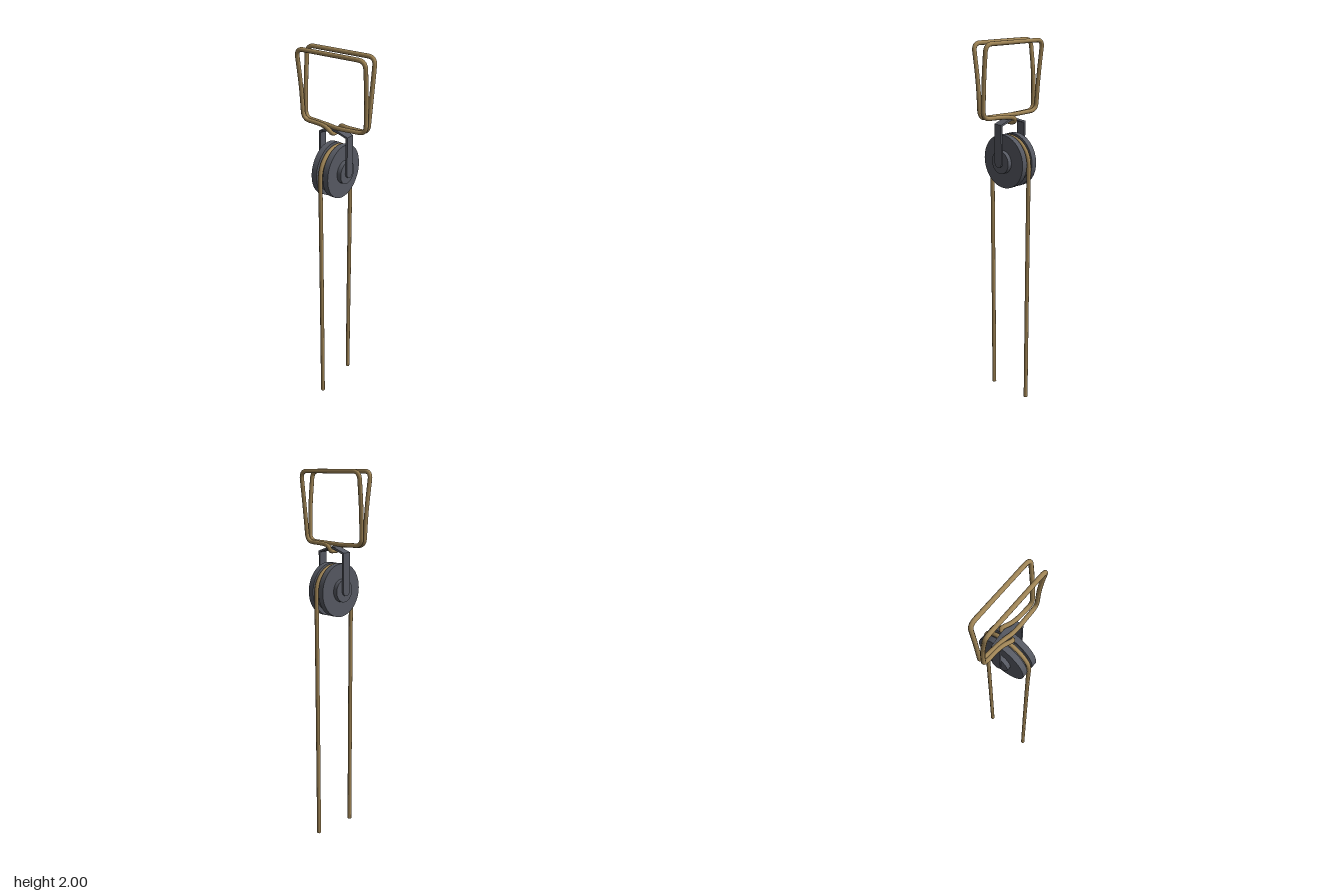
import * as THREE from 'three';

const metal = new THREE.MeshStandardMaterial({ color: 0x565962 });
metal.name = 'dark metal';
const tan = new THREE.MeshStandardMaterial({ color: 0xa08556 });
tan.name = 'tan rope';

const WHEEL_Y = 1.382;
const ROPE_R = 0.0112;

function add(group, name, geometry, material) {
  const mesh = new THREE.Mesh(geometry, material);
  mesh.name = name;
  group.add(mesh);
  return mesh;
}

// Closed path through [x, y, z, radius] corners, each rounded off
function roundedLoop(corners) {
  const pts = corners.map(c => new THREE.Vector3(c[0], c[1], c[2]));
  const n = pts.length;
  const bends = pts.map((p, i) => {
    const toward = q => {
      const d = q.clone().sub(p);
      const reach = Math.min(corners[i][3], d.length() * 0.48);
      return p.clone().add(d.setLength(reach));
    };
    return [toward(pts[(i + n - 1) % n]), p, toward(pts[(i + 1) % n])];
  });
  const path = new THREE.CurvePath();
  bends.forEach((b, i) => {
    path.add(new THREE.QuadraticBezierCurve3(...b));
    path.add(new THREE.LineCurve3(b[2], bends[(i + 1) % n][0]));
  });
  return path;
}

function buildWheel() {
  const wheel = new THREE.Group();
  wheel.name = 'pulleyWheel';
  const disc = (name, r, depth, z) => {
    const g = new THREE.CylinderGeometry(r, r, depth, 48);
    g.rotateX(Math.PI / 2);
    g.translate(0, 0, z);
    add(wheel, name, g, metal);
  };
  disc('grooveCore', 0.12, 0.04, 0);
  disc('axle', 0.02, 0.166, 0);
  for (const s of [-1, 1]) {
    disc('flange', 0.141, 0.031, s * 0.0345);
    disc('hub', 0.06, 0.024, s * 0.061);
  }
  wheel.position.y = WHEEL_Y;
  return wheel;
}

function buildBracket() {
  const bracket = new THREE.Group();
  bracket.name = 'bracket';
  const w = 0.025;
  // Side straps with rounded lower ends
  const strap = new THREE.Shape();
  strap.moveTo(w, 1.582);
  strap.lineTo(-w, 1.582);
  strap.lineTo(-w, WHEEL_Y);
  strap.absarc(0, WHEEL_Y, w, Math.PI, Math.PI * 2, false);
  strap.closePath();
  for (const z of [-0.088, 0.078]) {
    const g = new THREE.ExtrudeGeometry(strap, { depth: 0.01, bevelEnabled: false, curveSegments: 16 });
    g.translate(0, 0, z);
    add(bracket, 'strap', g, metal);
  }
  // Bent bridge joining the straps
  const roof = new THREE.Shape();
  [[-0.088, 1.582], [-0.078, 1.575], [-0.015, 1.596], [0.015, 1.596], [0.078, 1.575],
    [0.088, 1.582], [0.018, 1.607], [-0.018, 1.607]].forEach(([z, y], i) => {
    if (i) roof.lineTo(z, y); else roof.moveTo(z, y);
  });
  roof.closePath();
  const g = new THREE.ExtrudeGeometry(roof, { depth: w * 2, bevelEnabled: false });
  g.translate(0, 0, -w);
  g.rotateY(-Math.PI / 2);
  add(bracket, 'bridge', g, metal);
  return bracket;
}

// Rope hanging over the wheel
function buildHangingRope() {
  const rope = new THREE.Group();
  rope.name = 'hangingRope';
  const rx = 0.135, ry = 0.127;
  const left = new THREE.Vector3(0.127, 0.01, 0);
  const right = new THREE.Vector3(-0.133, 0, 0);
  const pts = [left, new THREE.Vector3(0.13, 0.6, 0), new THREE.Vector3(0.134, 1.2, 0)];
  for (let i = 0; i <= 12; i++) {
    const a = i / 12 * Math.PI;
    pts.push(new THREE.Vector3(rx * Math.cos(a), WHEEL_Y + ry * Math.sin(a), 0));
  }
  pts.push(new THREE.Vector3(-0.134, 1.2, 0), new THREE.Vector3(-0.133, 0.6, 0), right);
  const curve = new THREE.CatmullRomCurve3(pts);
  add(rope, 'rope', new THREE.TubeGeometry(curve, 200, ROPE_R, 10), tan);
  for (const end of [left, right]) {
    const cap = add(rope, 'ropeEnd', new THREE.CircleGeometry(ROPE_R, 10), tan);
    cap.rotation.x = Math.PI / 2;
    cap.position.copy(end);
  }
  return rope;
}

// One continuous rope: under the bridge, round one square, over the bridge, round the other
function buildHangingLoops(group) {
  const c = 0.04, soft = 0.12;
  const path = roundedLoop([
    [0.003, 1.622, 0.19, c],
    [0.01, 1.618, 0.06, 0.05],
    [0.042, 1.612, 0.0, 0.03],
    [0.03, 1.584, 0.0, 0.02],
    [-0.03, 1.584, 0.0, 0.02],
    [-0.044, 1.61, -0.01, 0.03],
    [-0.02, 1.618, -0.07, 0.05],
    [-0.017, 1.622, -0.19, c],
    [-0.022, 1.8, -0.197, soft],
    [-0.049, 1.987, -0.2, c],
    [-0.049, 1.987, 0.2, c],
    [-0.024, 1.8, 0.196, soft],
    [-0.02, 1.624, 0.192, c],
    [-0.024, 1.618, 0.02, 0.05],
    [-0.008, 1.618, -0.04, 0.05],
    [0.004, 1.624, -0.19, c],
    [0.014, 1.8, -0.195, soft],
    [0.037, 1.987, -0.198, c],
    [0.037, 1.987, 0.2, c],
    [0.016, 1.8, 0.197, soft],
  ]);
  add(group, 'hangingLoops', new THREE.TubeGeometry(path, 500, ROPE_R, 10, true), tan);
}

export function createModel() {
  const model = new THREE.Group();
  model.name = 'ropePulley';
  model.add(buildWheel(), buildBracket(), buildHangingRope());
  buildHangingLoops(model);
  return model;
}
